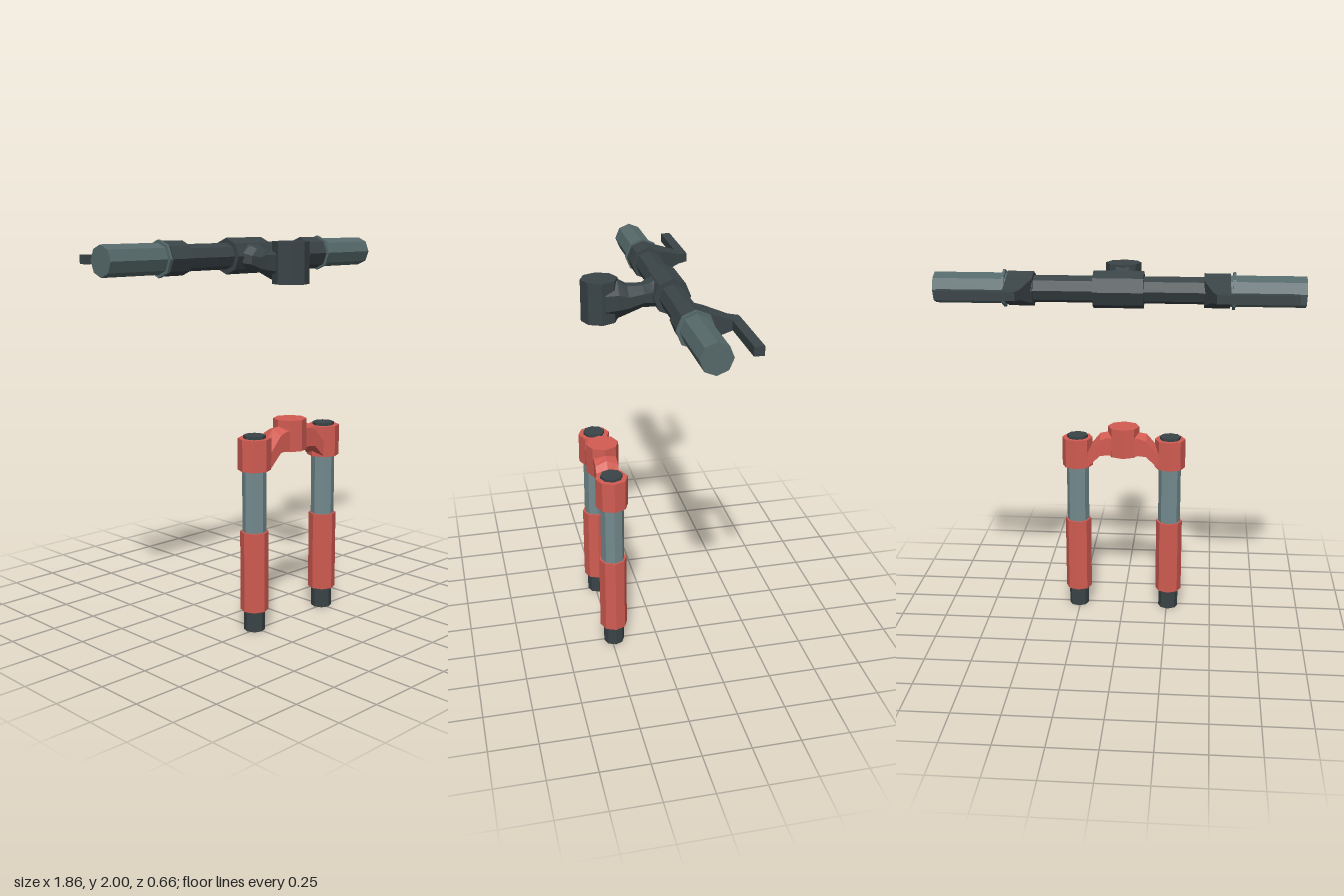
import * as THREE from 'three';

const mat = (color) => new THREE.MeshStandardMaterial({ color, flatShading: true });
const DARK = mat(0x3a4447), GRIP = mat(0x56696a), TUBE = mat(0x748a8e), RED = mat(0xd25c52);

// Skin between equal-sized rings of points, closed at both ends
function loft(rings) {
  const n = rings[0].length, pos = rings.flat(2), idx = [];
  for (let r = 0; r < rings.length - 1; r++) {
    for (let i = 0; i < n; i++) {
      const a = r * n + i, b = r * n + (i + 1) % n;
      idx.push(a, b, b + n, a, b + n, a + n);
    }
  }
  const last = (rings.length - 1) * n;
  for (let i = 1; i < n - 1; i++) idx.push(0, i + 1, i, last, last + i, last + i + 1);
  // Signed volume decides the winding, so mirrored parts also face outwards
  const v = (i) => new THREE.Vector3().fromArray(pos, i * 3);
  let volume = 0;
  for (let i = 0; i < idx.length; i += 3) volume += v(idx[i]).dot(v(idx[i + 1]).cross(v(idx[i + 2])));
  if (volume < 0) idx.reverse();
  const indexed = new THREE.BufferGeometry();
  indexed.setAttribute('position', new THREE.Float32BufferAttribute(pos, 3));
  indexed.setIndex(idx);
  const g = indexed.toNonIndexed();
  g.computeVertexNormals();
  return g;
}

function add(parent, name, geometry, material) {
  const mesh = new THREE.Mesh(geometry, material);
  mesh.name = name;
  parent.add(mesh);
  return mesh;
}

// Upright eight-sided post from y0 to y1
function post(parent, name, x, z, r, y0, y1, material) {
  add(parent, name, new THREE.CylinderGeometry(r, r, y1 - y0, 8), material).position.set(x, (y0 + y1) / 2, z);
}

const BAR_Y = 1.905, BAR_Z = -0.106, FORK_Z = 0.236;

// Eight-sided sleeve on the handlebar axis from x0 to x1
function sleeve(parent, name, r, x0, x1, material) {
  const m = add(parent, name, new THREE.CylinderGeometry(r, r, Math.abs(x1 - x0), 8), material);
  m.rotation.z = Math.PI / 2;
  m.position.set((x0 + x1) / 2, BAR_Y, BAR_Z);
}

function forkLeg(s) {
  const leg = new THREE.Group(), x = s * 0.258;
  leg.name = s > 0 ? 'leftForkLeg' : 'rightForkLeg';
  post(leg, 'foot', x, FORK_Z, 0.055, 0, 0.12, DARK);
  post(leg, 'lowerSleeve', x, FORK_Z, 0.073, 0.11, 0.53, RED);
  post(leg, 'innerTube', x, FORK_Z, 0.062, 0.52, 0.87, TUBE);
  post(leg, 'legClamp', x, FORK_Z, 0.085, 0.852, 1.015, RED);
  post(leg, 'topCap', x, FORK_Z, 0.058, 1.0, 1.03, DARK);
  // Crown arm with a ridged top: [x, ridge, shoulder, bottom]
  const arm = [[0.04, 1.05, 1.03, 0.925], [0.085, 1.05, 1.03, 0.93], [0.128, 1.042, 1.015, 0.925], [0.2, 0.955, 0.935, 0.855], [0.24, 0.945, 0.925, 0.855]];
  add(leg, 'crownArm', loft(arm.map(([ax, ridge, shoulder, low]) => [
    [s * ax, ridge, FORK_Z], [s * ax, shoulder, FORK_Z + 0.06], [s * ax, low, FORK_Z + 0.06],
    [s * ax, low, FORK_Z - 0.06], [s * ax, shoulder, FORK_Z - 0.06],
  ])), RED);
  return leg;
}

function handlebarEnd(s) {
  const end = new THREE.Group();
  end.name = s > 0 ? 'leftControls' : 'rightControls';
  sleeve(end, 'leverCollar', 0.087, s * 0.425, s * 0.555, DARK);
  sleeve(end, 'grip', 0.078, s * 0.55, s * 0.928, GRIP);
  sleeve(end, 'gripFlange', 0.094, s * 0.566, s * 0.58, GRIP);
  // Lever bracket narrowing towards the back: [z, inner x, half height]
  const bracket = [[-0.11, 0.425, 0.083], [-0.175, 0.425, 0.062], [-0.285, 0.468, 0.026], [-0.334, 0.487, 0.022]];
  add(end, 'leverBracket', loft(bracket.map(([z, x, h]) => [
    [s * x, BAR_Y + h, z], [s * 0.555, BAR_Y + h, z], [s * 0.555, BAR_Y - h, z], [s * x, BAR_Y - h, z],
  ])), DARK);
  add(end, 'leverBlade', new THREE.BoxGeometry(0.34, 0.045, 0.05), DARK).position.set(s * 0.713, BAR_Y, -0.309);
  return end;
}

export function createModel() {
  const model = new THREE.Group();
  model.name = 'forkAndHandlebar';

  // Fork
  const fork = new THREE.Group();
  fork.name = 'fork';
  fork.add(forkLeg(1), forkLeg(-1));
  post(fork, 'crownHub', 0, FORK_Z, 0.087, 0.92, 1.083, RED);

  // Handlebar
  const handlebar = new THREE.Group();
  handlebar.name = 'handlebar';
  sleeve(handlebar, 'bar', 0.068, -0.43, 0.43, DARK);
  sleeve(handlebar, 'barClamp', 0.094, -0.126, 0.126, DARK);
  handlebar.add(handlebarEnd(1), handlebarEnd(-1));

  // Stem
  const stem = new THREE.Group();
  stem.name = 'stem';
  post(stem, 'stemHead', 0, FORK_Z, 0.094, 1.773, 1.986, DARK);
  // Stem arm sections: [z, half width, top, bottom]
  const arm = [[0.22, 0.09, 1.98, 1.778], [0.15, 0.085, 1.975, 1.785], [0.1, 0.077, 1.945, 1.802], [0.02, 0.062, 1.942, 1.83], [-0.02, 0.088, 1.96, 1.832], [-0.08, 0.095, 1.98, 1.83]];
  add(stem, 'stemArm', loft(arm.map(([z, w, top, low]) => {
    const mid = (top + low) / 2, h = (top - low) / 2;
    return [[-0.4, 1], [0.4, 1], [1, 0.4], [1, -0.4], [0.4, -1], [-0.4, -1], [-1, -0.4], [-1, 0.4]]
      .map(([u, v]) => [u * w, mid + v * h, z]);
  })), DARK);

  model.add(fork, handlebar, stem);
  return model;
}
